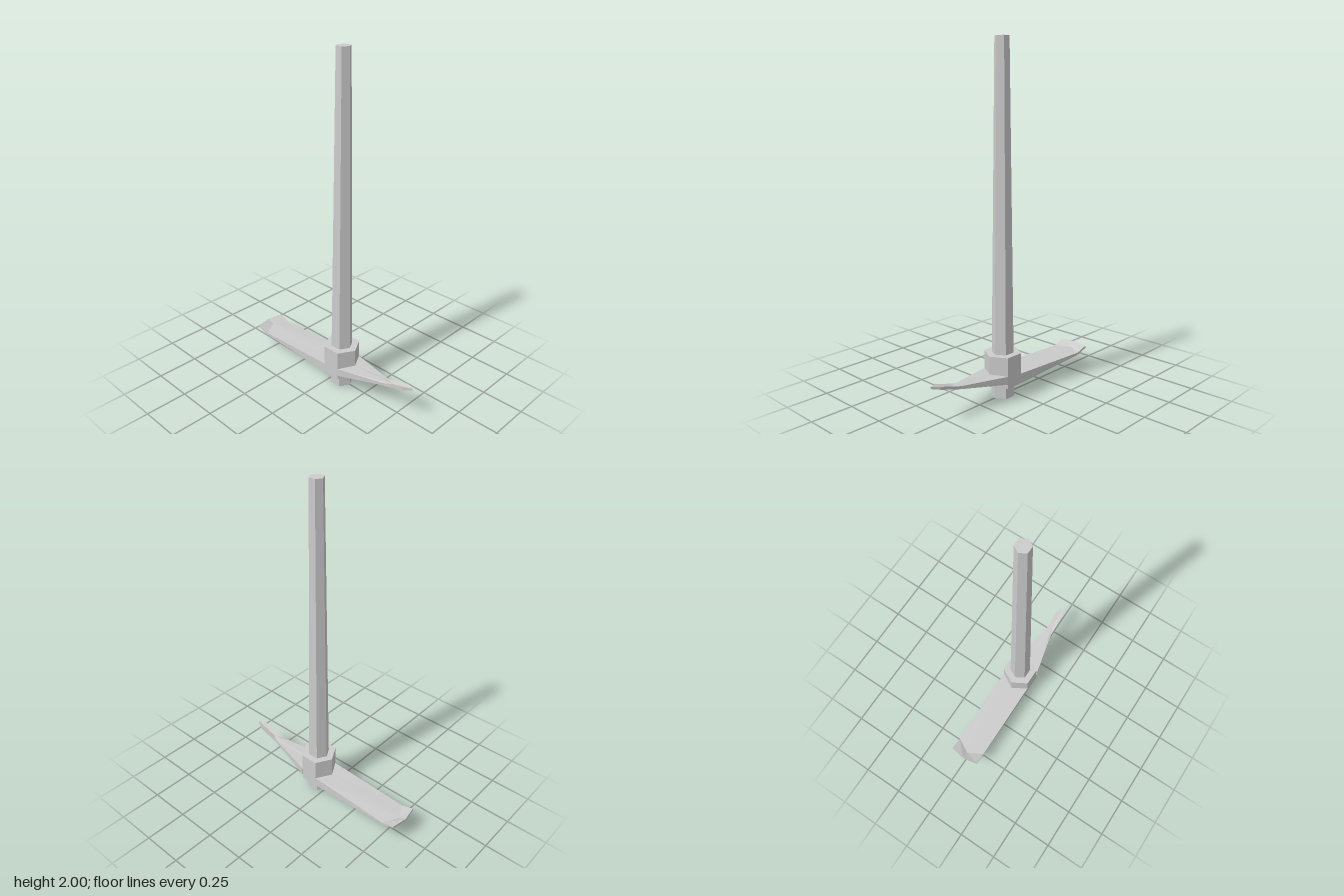
import * as THREE from 'three';

const material = new THREE.MeshStandardMaterial({ color: 0xcccccc, flatShading: true });
const AXIS = 0.065;

// Six-sided post with points toward +x and -x
function hexPost(name, rTop, rBottom, y0, y1) {
  const geo = new THREE.CylinderGeometry(rTop, rBottom, y1 - y0, 6);
  geo.rotateY(Math.PI / 6);
  const mesh = new THREE.Mesh(geo, material);
  mesh.name = name;
  mesh.position.set(AXIS, (y0 + y1) / 2, 0);
  return mesh;
}

// Arm lofted through sections running toward +x.
// Section: half width, edge x / top / bottom, middle x / top / bottom
function arm(name, sections) {
  const pos = [], index = [], n = 6;
  for (const [w, xe, te, be, xm, tm, bm] of sections) {
    pos.push(xe, te, -w, xm, tm, 0, xe, te, w, xe, be, w, xm, bm, 0, xe, be, -w);
  }
  for (let s = 0; s < sections.length - 1; s++) {
    for (let i = 0; i < n; i++) {
      const a = s * n + i, b = s * n + (i + 1) % n;
      index.push(a, b, a + n, b, b + n, a + n);
    }
  }
  // End caps, each made of two quads
  const e = (sections.length - 1) * n;
  index.push(0, 5, 1, 1, 5, 4, 1, 4, 2, 2, 4, 3);
  index.push(e, e + 1, e + 5, e + 1, e + 4, e + 5, e + 1, e + 2, e + 4, e + 2, e + 3, e + 4);
  const geo = new THREE.BufferGeometry();
  geo.setAttribute('position', new THREE.Float32BufferAttribute(pos, 3));
  geo.setIndex(index);
  const flat = geo.toNonIndexed();
  flat.computeVertexNormals();
  const mesh = new THREE.Mesh(flat, material);
  mesh.name = name;
  return mesh;
}

export function createModel() {
  const group = new THREE.Group();
  group.name = 'pickaxe';

  group.add(hexPost('handle', 0.041, 0.067, 0, 2));
  group.add(hexPost('collar', 0.107, 0.107, 0.08, 0.26));

  // Broad adze blade with an upturned, slightly pointed cutting edge
  group.add(arm('adzeBlade', [
    [0.093, -0.588, 0.138, 0.124, -0.605, 0.138, 0.124],
    [0.093, -0.51, 0.114, 0.1, -0.56, 0.116, 0.102],
    [0.093, 0.012, 0.138, 0.08, 0.012, 0.138, 0.08],
  ]));

  // Tapering spike that narrows to an upturned point
  group.add(arm('spike', [
    [0.093, 0.12, 0.152, 0.105, 0.12, 0.152, 0.105],
    [0.025, 0.41, 0.17, 0.153, 0.465, 0.178, 0.162],
    [0.025, 0.55, 0.212, 0.195, 0.6, 0.219, 0.208],
  ]));
  return group;
}
